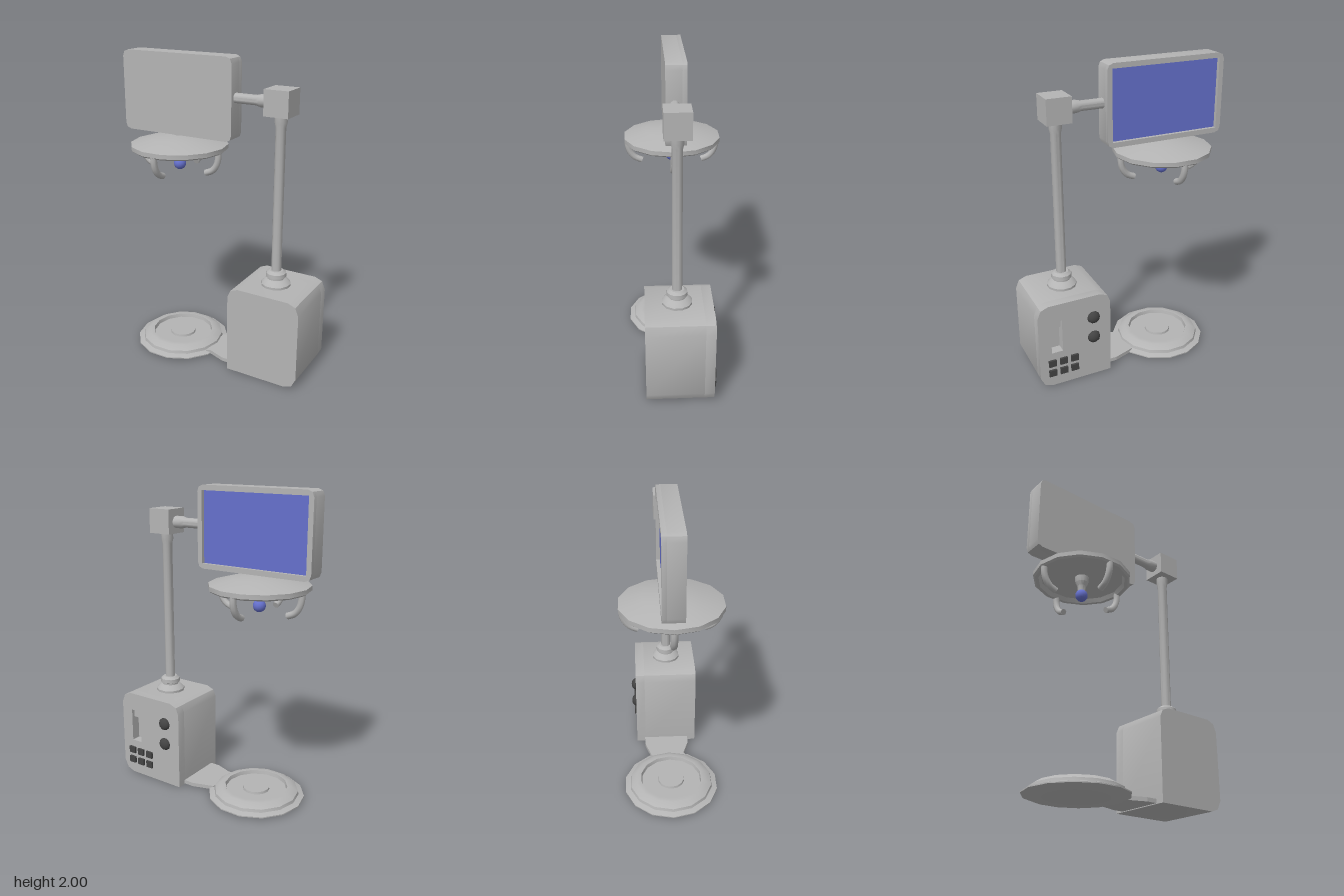
import * as THREE from 'three';
import { toCreasedNormals } from 'three/addons/utils/BufferGeometryUtils.js';

export function createModel() {
  const model = new THREE.Group();
  const grey = new THREE.MeshStandardMaterial({ name: 'grey', color: 0xb4b4b4 });
  const black = new THREE.MeshStandardMaterial({ name: 'black', color: 0x444444 });
  const blue = new THREE.MeshStandardMaterial({ name: 'blue', color: 0x6570cc });

  const add = (name, geometry, material, x = 0, y = 0, z = 0, parent = model) => {
    const mesh = new THREE.Mesh(geometry, material);
    mesh.name = name;
    mesh.position.set(x, y, z);
    parent.add(mesh);
    return mesh;
  };
  const box = (w, h, d) => new THREE.BoxGeometry(w, h, d);
  // Turned part; profile runs from the bottom, round the outside, to the top
  const turned = (profile, sides) => toCreasedNormals(new THREE.LatheGeometry(
    profile.map(([r, y]) => new THREE.Vector2(r, y)), sides, Math.PI / sides), 0.6);
  const polygon = (points) => new THREE.Shape(points.map(([x, y]) => new THREE.Vector2(x, y)));
  // Plate from z0 to z1 with an optional rectangular hole [x0, y0, x1, y1]
  const plate = (points, z0, z1, hole) => {
    const shape = polygon(points);
    if (hole) {
      const [a, b, c, d] = hole;
      shape.holes.push(new THREE.Path([[a, b], [a, d], [c, d], [c, b]]
        .map(([x, y]) => new THREE.Vector2(x, y))));
    }
    const g = new THREE.ExtrudeGeometry(shape, { depth: z1 - z0, bevelEnabled: false });
    return toCreasedNormals(g.translate(0, 0, z0), 0.65);
  };

  const discX = -0.29, poleX = 0.42;

  // Base dish with a recessed ring and a raised centre
  add('baseDish', turned([
    [0, 0.005], [0.28, 0.005], [0.315, 0.018], [0.315, 0.025], [0.28, 0.036], [0.275, 0.055],
    [0.235, 0.08], [0.205, 0.08], [0.2, 0.055], [0.088, 0.055], [0.085, 0.07], [0, 0.07],
  ], 14), grey, discX);

  // Flat bridge between dish and housing
  const bridge = new THREE.ExtrudeGeometry(polygon([
    [-0.03, -0.12], [0, -0.107], [0.11, -0.145], [0.25, -0.145],
    [0.25, 0.165], [0.11, 0.165], [0, 0.13], [-0.03, 0.12],
  ]), { depth: 0.025, bevelEnabled: false });
  add('bridge', bridge.rotateX(-Math.PI / 2), grey, 0, 0.015, 0);

  // Control housing, with a slot opening in its back
  const housing = [
    [0.18, 0.01], [0.59, 0.01], [0.64, 0.03], [0.667, 0.085], [0.667, 0.525],
    [0.645, 0.58], [0.595, 0.6], [0.25, 0.6], [0.2, 0.58], [0.18, 0.535],
  ];
  add('housing', plate(housing, -0.16, 0.2), grey);
  add('housingBack', plate(housing, -0.222, -0.16, [0.51, 0.255, 0.585, 0.48]), grey);
  add('slider', box(0.072, 0.045, 0.04), grey, 0.5475, 0.445, -0.18);

  // Knobs and buttons
  for (const y of [0.3, 0.445]) {
    const knob = add('knob', new THREE.SphereGeometry(0.043, 10, 8), black, 0.297, y, -0.222);
    knob.rotation.x = -Math.PI / 2;
    knob.scale.y = 0.7;
  }
  for (const y of [0.11, 0.183]) {
    for (const x of [0.435, 0.51, 0.585]) add('button', box(0.05, 0.045, 0.03), black, x, y, -0.221);
  }

  // Pole with stepped collar and flared top
  add('pole', turned([
    [0, 0.59], [0.095, 0.59], [0.095, 0.615], [0.07, 0.64], [0.055, 0.645], [0.055, 0.655],
    [0.066, 0.66], [0.064, 0.685], [0.045, 0.7], [0.032, 0.7], [0.032, 1.61],
    [0.039, 1.64], [0.039, 1.69], [0, 1.69],
  ], 12), grey, poleX);
  add('joint', box(0.157, 0.157, 0.157), grey, poleX, 1.76, 0);

  // Arm from the joint to the screen
  const arm = turned([
    [0, 0], [0.039, 0], [0.039, 0.055], [0.031, 0.085], [0.031, 0.28], [0, 0.28],
  ], 12);
  add('arm', arm.rotateZ(Math.PI / 2), grey, 0.345, 1.755, 0);

  // Screen casing with a recessed display facing the back
  const x0 = -0.67, x1 = 0.118, y0 = 1.492, y1 = 2;
  const casing = [
    [x0 + 0.04, y0], [x1 - 0.04, y0], [x1 - 0.011, y0 + 0.011], [x1, y0 + 0.04],
    [x1, y1 - 0.04], [x1 - 0.011, y1 - 0.011], [x1 - 0.04, y1], [x0 + 0.04, y1],
    [x0 + 0.011, y1 - 0.011], [x0, y1 - 0.04], [x0, y0 + 0.04], [x0 + 0.011, y0 + 0.011],
  ];
  const m = 0.032;
  add('screenCasing', plate(casing, -0.045, 0.054), grey);
  add('screenFrame', plate(casing, -0.073, -0.045, [x0 + m, y0 + m, x1 - m, y1 - m]), grey);
  add('display', box(x1 - x0 - 2 * m, y1 - y0 - 2 * m, 0.006), blue,
    (x0 + x1) / 2, (y0 + y1) / 2, -0.047);

  // Lamp shade, hollow underneath, hung from a short neck
  const lamp = new THREE.Group();
  lamp.name = 'lamp';
  lamp.position.x = discX;
  model.add(lamp);
  add('shade', turned([
    [0, 1.43], [0.265, 1.415], [0.28, 1.39], [0.302, 1.39], [0.315, 1.4], [0.315, 1.428],
    [0.175, 1.467], [0.06, 1.483], [0, 1.484],
  ], 14), grey, 0, 0, 0, lamp);
  add('neck', new THREE.CylinderGeometry(0.035, 0.035, 0.05, 12), grey, 0, 1.49, 0, lamp);
  add('bulbHolder', turned([
    [0, 1.32], [0.024, 1.32], [0.028, 1.36], [0.042, 1.385], [0.045, 1.425], [0, 1.425],
  ], 12), grey, 0, 0, 0, lamp);
  add('bulb', new THREE.SphereGeometry(0.04, 14, 10), blue, 0, 1.293, 0, lamp);

  // Four hooked claws round the rim
  const path = new THREE.CatmullRomCurve3([
    [0.288, 1.405], [0.287, 1.36], [0.273, 1.315], [0.243, 1.278], [0.196, 1.257],
  ].map(([x, y]) => new THREE.Vector3(x, y, 0)));
  const claw = new THREE.TubeGeometry(path, 10, 0.021, 8);
  const tip = new THREE.CircleGeometry(0.021, 8);
  for (let i = 0; i < 4; i++) {
    const hook = new THREE.Group();
    hook.name = 'claw';
    hook.rotation.y = i * Math.PI / 2;
    lamp.add(hook);
    add('clawRod', claw, grey, 0, 0, 0, hook);
    const end = path.getPoint(1);
    const cap = add('clawTip', tip, grey, end.x, end.y, 0, hook);
    cap.quaternion.setFromUnitVectors(new THREE.Vector3(0, 0, 1), path.getTangent(1));
  }

  return model;
}
